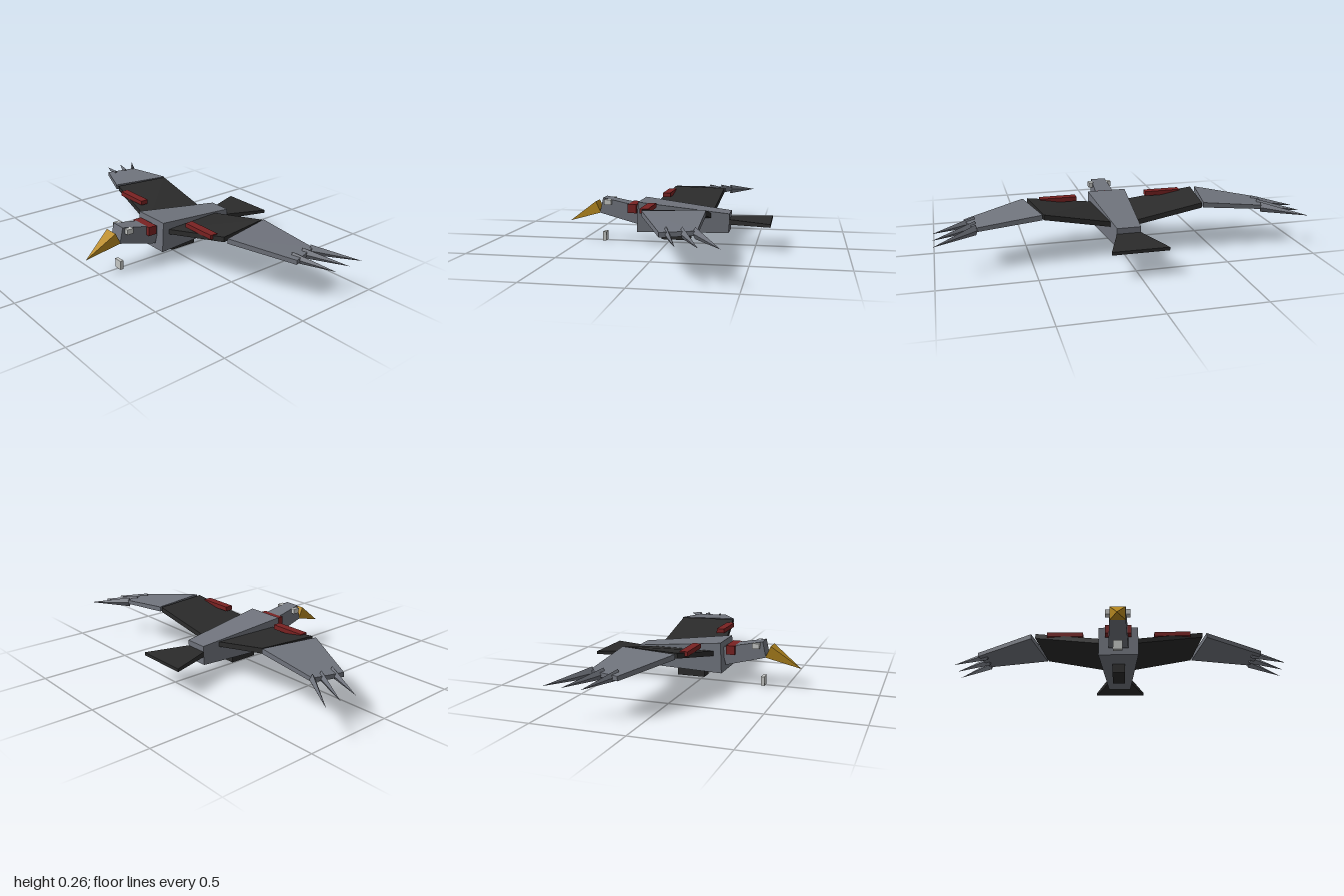
import * as THREE from 'three';
import { ConvexGeometry } from 'three/addons/geometries/ConvexGeometry.js';

const material = (name, color) => {
  const m = new THREE.MeshStandardMaterial({ color });
  m.name = name;
  return m;
};

export function createModel() {
  const bird = new THREE.Group();
  bird.name = 'bird';

  const grey = material('slate grey', 0x70747d);
  const dark = material('charcoal', 0x2b2b2b);
  const red = material('deep red', 0x7a2222);
  const gold = material('beak gold', 0xb88a20);
  const pale = material('pale grey', 0xc6c8c6);

  // Flat-faced solid spanned by its corner points
  function solid(name, mat, points) {
    const geometry = new ConvexGeometry(points.map((p) => new THREE.Vector3(...p)));
    const mesh = new THREE.Mesh(geometry, mat);
    mesh.name = name;
    bird.add(mesh);
  }

  // Box given by its limits on each axis
  function box(name, mat, [x0, x1], [y0, y1], [z0, z1]) {
    const mesh = new THREE.Mesh(new THREE.BoxGeometry(Math.abs(x1 - x0), y1 - y0, z1 - z0), mat);
    mesh.position.set((x0 + x1) / 2, (y0 + y1) / 2, (z0 + z1) / 2);
    mesh.name = name;
    bird.add(mesh);
  }

  // Symmetric pair of corners, and a cross-section of [halfWidth, yTop, zTop, yBottom, zBottom]
  const pair = (x, y, z) => [[x, y, z], [-x, y, z]];
  const section = (w, yt, zt, yb, zb) => [...pair(w, yt, zt), ...pair(w, yb, zb)];

  // Slab corners from plan points [x, z, yBottom, yTop], mirrored by side
  const slab = (side, plan) =>
    plan.flatMap(([x, z, yb, yt]) => [[side * x, yb, z], [side * x, yt, z]]);

  // Body, head, beak and tail
  solid('body', grey, [
    ...section(0.11, 0.245, 0.15, 0.075, 0.157),
    ...section(0.065, 0.187, -0.357, 0.08, -0.353),
  ]);
  solid('head', grey, [
    ...section(0.043, 0.255, 0.37, 0.168, 0.39),
    ...section(0.055, 0.21, 0.14, 0.111, 0.165),
  ]);
  solid('beak', gold, [...section(0.042, 0.232, 0.415, 0.168, 0.385), [0, 0.11, 0.58]]);
  solid('tail', dark, [
    ...section(0.06, 0.156, -0.34, 0.127, -0.34),
    ...section(0.15, 0.15, -0.585, 0.133, -0.585),
  ]);

  // Collar, belly pack and hanging tag
  box('collar', red, [-0.072, 0.072], [0.175, 0.225], [0.17, 0.22]);
  box('bellyPack', dark, [-0.035, 0.035], [0.024, 0.1], [-0.13, 0.032]);
  box('hangingTag', pale, [-0.025, 0.025], [0.002, 0.053], [0.36, 0.38]);

  for (const side of [1, -1]) {
    const tag = side > 0 ? 'left' : 'right';

    box(tag + 'Eye', pale, [side * 0.04, side * 0.068], [0.218, 0.247], [0.318, 0.357]);

    // Inner wing rising from the body
    solid(tag + 'InnerWing', dark, slab(side, [
      [0.07, 0.115, 0.162, 0.19],
      [0.478, 0.042, 0.236, 0.264],
      [0.433, -0.272, 0.236, 0.264],
      [0.07, -0.255, 0.162, 0.19],
    ]));

    // Outer wing sloping down to the tip
    solid(tag + 'OuterWing', grey, slab(side, [
      [0.44, -0.278, 0.238, 0.266],
      [0.503, -0.04 + 0.08, 0.236, 0.264],
      [0.835, -0.117, 0.198, 0.222],
      [0.79, -0.285, 0.204, 0.226],
    ]));

    // Red wing stripe
    box(tag + 'WingStripe', red, [side * 0.203, side * 0.408], [0.232, 0.257], [0.026, 0.071]);

    // Pointed wingtip feathers: base z, tip z
    [[-0.275, -0.416], [-0.215, -0.32], [-0.14, -0.22]].forEach(([zBase, zTip], i) => {
      const x = side * 0.78;
      solid(tag + 'Feather' + (i + 1), grey, [
        [x, 0.242, zBase], [x, 0.186, zBase],
        [x - side * 0.006, 0.214, zBase - 0.014], [x + side * 0.006, 0.214, zBase + 0.014],
        [side * 0.998, 0.191, zTip],
      ]);
    });
  }
  return bird;
}
